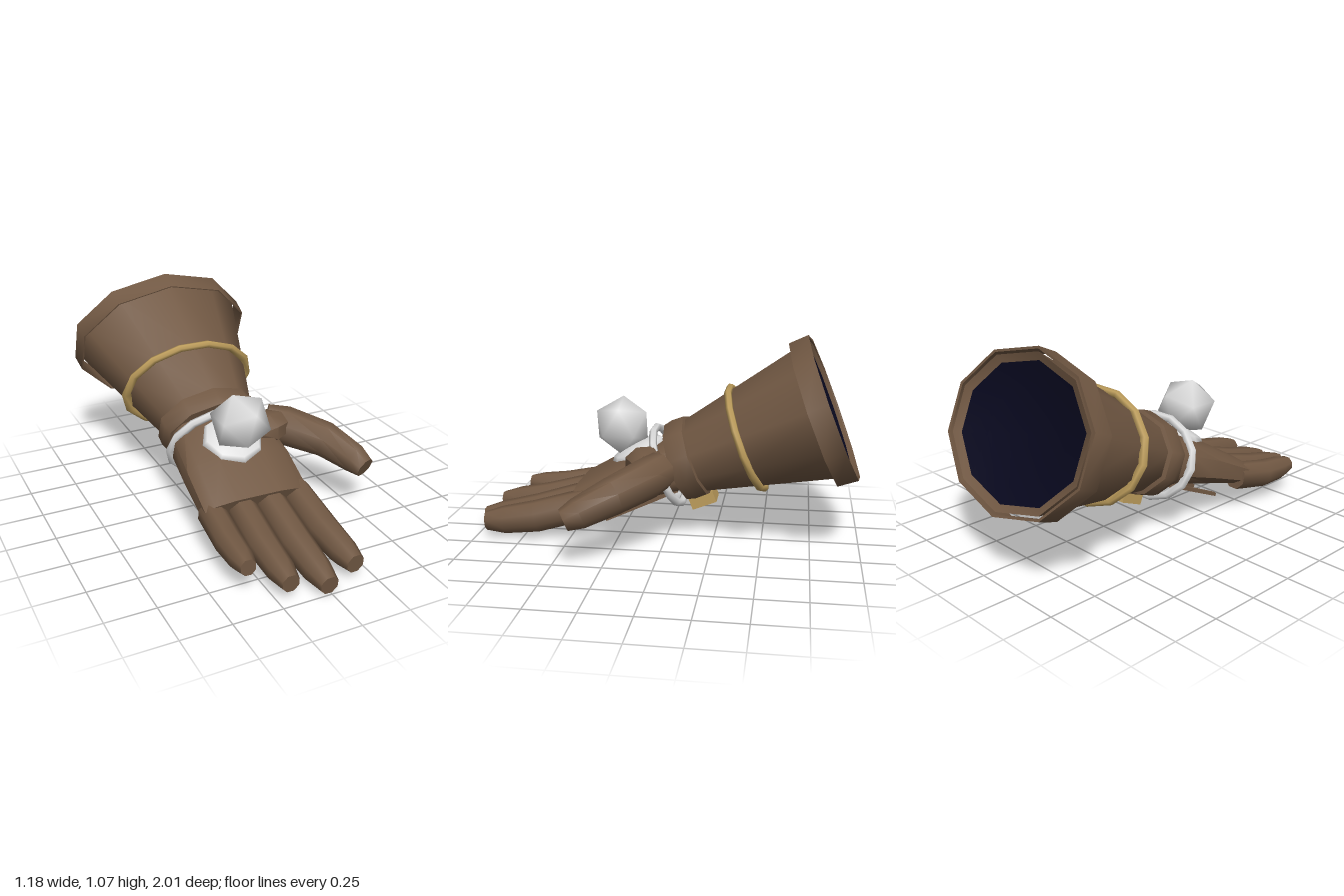
import * as THREE from 'three';
import { toCreasedNormals } from 'three/addons/utils/BufferGeometryUtils.js';

const mat = (name, color, side = THREE.FrontSide) => {
  const m = new THREE.MeshStandardMaterial({ color, side });
  m.name = name;
  return m;
};

// Closed loft through sections [x, y, z, half width, half height]
function loft(sections, sides = 8, power = 1, crease = 0.8) {
  const pts = sections.map((s) => new THREE.Vector3(s[0], s[1], s[2]));
  const up = new THREE.Vector3(0, 1, 0);
  const pos = [], index = [], last = pts.length - 1;
  const soft = (v) => Math.sign(v) * Math.pow(Math.abs(v), power);
  pts.forEach((p, i) => {
    const t = pts[Math.min(i + 1, last)].clone().sub(pts[Math.max(i - 1, 0)]).normalize();
    const side = up.clone().cross(t).normalize();
    const nrm = t.clone().cross(side);
    for (let j = 0; j < sides; j++) {
      const a = ((j + 0.5) / sides) * Math.PI * 2;
      const v = p.clone()
        .addScaledVector(side, soft(Math.cos(a)) * sections[i][3])
        .addScaledVector(nrm, soft(Math.sin(a)) * sections[i][4]);
      pos.push(v.x, v.y, v.z);
    }
  });
  for (let i = 0; i < last; i++) {
    for (let j = 0; j < sides; j++) {
      const a = i * sides + j, b = i * sides + ((j + 1) % sides);
      index.push(a, b, b + sides, a, b + sides, a + sides);
    }
  }
  // end caps
  for (let j = 1; j < sides - 1; j++) {
    const e = last * sides;
    index.push(0, j + 1, j, e, e + j, e + j + 1);
  }
  const g = new THREE.BufferGeometry();
  g.setAttribute('position', new THREE.Float32BufferAttribute(pos, 3));
  g.setIndex(index);
  return toCreasedNormals(g, crease);
}

const lathe = (profile, crease = 0.7) => toCreasedNormals(
  new THREE.LatheGeometry(profile.map(([r, y]) => new THREE.Vector2(r, y)), 10), crease);

export function createModel() {
  const root = new THREE.Group();
  root.name = 'glove';
  const leather = mat('brown leather', 0x715843, THREE.DoubleSide);
  const gold = mat('gold', 0xbd9d5c);
  const silver = mat('pale silver', 0xdedede);
  const lining = mat('dark blue lining', 0x08081e);
  const add = (parent, name, geometry, material) => {
    const m = new THREE.Mesh(geometry, material);
    m.name = name;
    parent.add(m);
    return m;
  };

  // Cuff group: local y runs from the wrist up to the open end
  const cuff = new THREE.Group();
  cuff.name = 'cuff';
  cuff.position.set(-0.1, 0.435, -0.15);
  cuff.rotation.x = -1.19;
  cuff.scale.x = 1.3;
  root.add(cuff);
  add(cuff, 'cuffCone', lathe([[0.195, -0.02], [0.264, 0.28], [0.372, 0.75], [0.332, 0.728]]), leather);
  // Thin open band standing just clear of the cone
  add(cuff, 'cuffRim', lathe([[0.384, 0.755], [0.384, 0.65], [0.39, 0.65], [0.396, 0.757], [0.384, 0.755]]), leather);
  add(cuff, 'cuffLining', lathe([[0.335, 0.732], [0.22, 0.69], [0, 0.66]], 1.2), lining);
  add(cuff, 'wristBand', lathe([[0, -0.11], [0.21, -0.11], [0.221, -0.06], [0.219, 0], [0.19, 0.01]]), leather);

  const ring = (name, r, tube, y, material) => {
    const m = add(cuff, name, new THREE.TorusGeometry(r, tube, 6, 14), material);
    m.rotation.x = Math.PI / 2;
    m.position.y = y;
  };
  ring('goldBand', 0.275, 0.02, 0.28, gold);
  ring('bracelet', 0.21, 0.021, -0.165, silver);
  add(cuff, 'buckle', new THREE.BoxGeometry(0.105, 0.135, 0.062), gold).position.set(0.01, -0.052, -0.226);

  // Palm
  add(root, 'palm', loft([
    [-0.1, 0.41, -0.08, 0.24, 0.14],
    [-0.1, 0.38, 0.02, 0.27, 0.13],
    [-0.1, 0.31, 0.22, 0.285, 0.11],
    [-0.105, 0.215, 0.45, 0.285, 0.075],
  ], 12, 0.65), leather);

  // Fingers: root x, tip x, tip y, tip z, thickness
  [
    [-0.33, -0.345, 0.16, 0.84, 0.066],
    [-0.18, -0.19, 0.1, 0.955, 0.073],
    [-0.025, -0.015, 0.065, 1.0, 0.076],
    [0.13, 0.155, 0.098, 0.945, 0.076],
  ].forEach(([x0, x1, y1, z1, r], i) => {
    const at = (f, k) => [
      x0 + (x1 - x0) * f,
      0.21 + (y1 - 0.21) * f - 0.02 * Math.sin(f * Math.PI),
      0.4 + (z1 - 0.4) * f, r * k, r * k * 1.05];
    add(root, 'finger' + (i + 1),
      loft([at(0, 1.06), at(0.5, 1.06), at(0.82, 0.92), at(1, 0.62)], 8, 1, 0.9), leather);
  });

  // Thumb and its base
  add(root, 'thumbBase', loft([
    [0.03, 0.43, 0.13, 0.07, 0.06],
    [0.11, 0.44, 0.1, 0.11, 0.09],
    [0.2, 0.43, 0.06, 0.09, 0.08],
  ], 8), leather);
  add(root, 'thumb', loft([
    [0.17, 0.42, 0.01, 0.09, 0.1],
    [0.26, 0.405, 0.06, 0.1, 0.105],
    [0.42, 0.355, 0.21, 0.092, 0.095],
    [0.51, 0.29, 0.36, 0.077, 0.078],
    [0.535, 0.262, 0.425, 0.06, 0.056],
  ], 8, 1, 0.9), leather);

  // Straps fanned out beneath the palm
  for (const k of [-1, 0, 1]) {
    add(root, 'palmStrap' + (k + 2), loft([
      [-0.1 + k * 0.08, 0.26, -0.05, 0.016, 0.016],
      [-0.1 + k * 0.12, 0.18, 0.14, 0.016, 0.014],
      [-0.1 + k * 0.16, 0.105, 0.32, 0.016, 0.012],
    ], 4), leather);
  }

  // Orb with its setting on the back of the hand
  const setting = add(root, 'orbSetting', new THREE.SphereGeometry(0.165, 8, 6), silver);
  setting.scale.y = 0.34;
  setting.rotation.x = 0.42;
  setting.position.set(-0.1, 0.443, 0.16);
  const orbGeo = new THREE.IcosahedronGeometry(0.156, 0);
  const p = orbGeo.attributes.position, v = new THREE.Vector3();
  for (let i = 0; i < p.count; i++) {
    v.fromBufferAttribute(p, i).normalize();
    orbGeo.attributes.normal.setXYZ(i, v.x, v.y, v.z);
  }
  const orb = add(root, 'orb', orbGeo, silver);
  orb.rotation.z = -0.28;
  orb.position.set(-0.1, 0.583, 0.255);

  return root;
}
